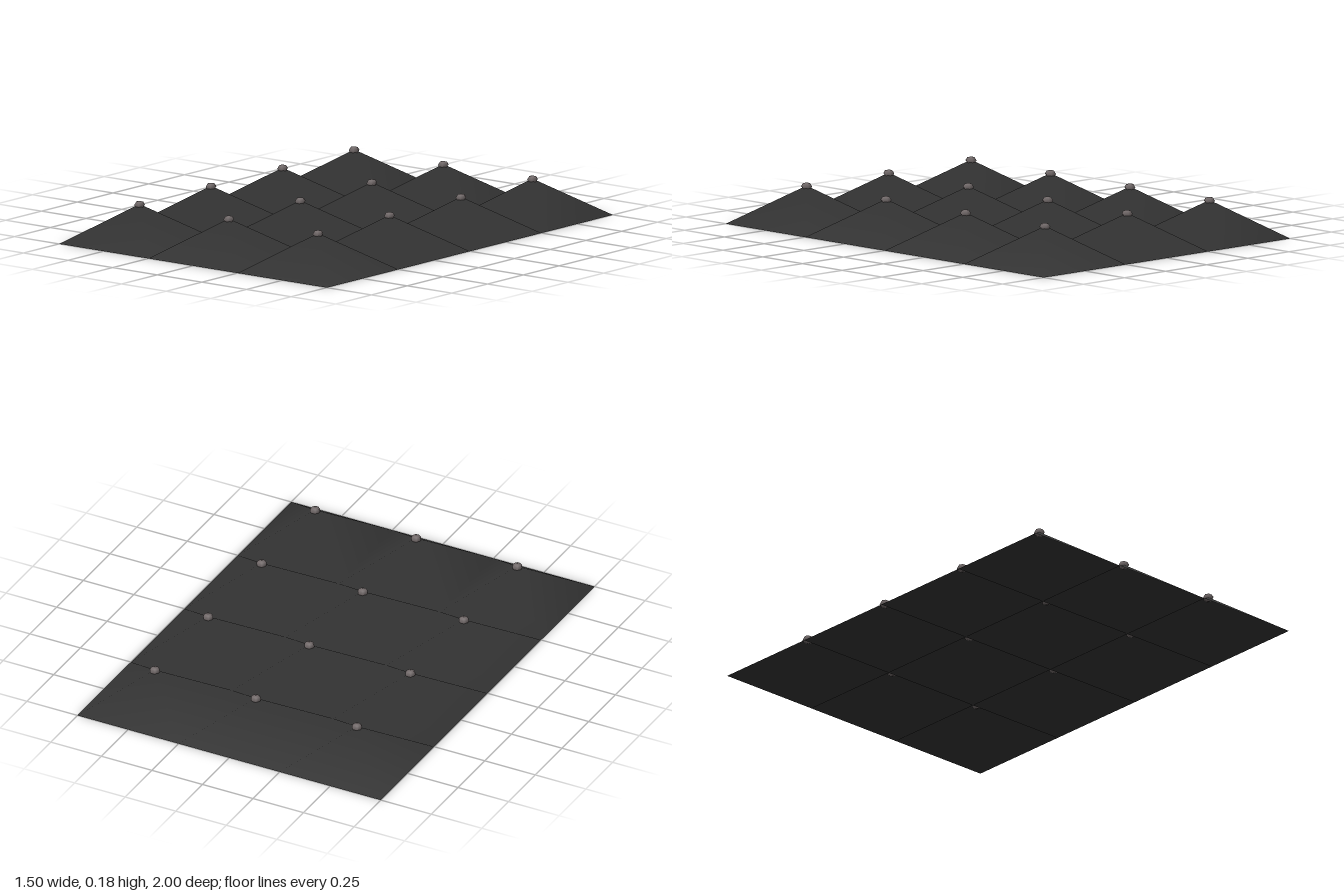
import * as THREE from 'three';

const COLS = 3, ROWS = 4, CELL = 0.5, PEAK = 0.17;

// Smooth welded sheet of square pyramids, open underneath
function pyramidSheet() {
  const positions = [], index = [];
  const x0 = -COLS * CELL / 2, z0 = -ROWS * CELL / 2;
  for (let r = 0; r <= ROWS; r++)
    for (let c = 0; c <= COLS; c++) positions.push(x0 + c * CELL, 0, z0 + r * CELL);
  for (let r = 0; r < ROWS; r++) {
    for (let c = 0; c < COLS; c++) {
      const apex = positions.length / 3;
      positions.push(x0 + (c + 0.5) * CELL, PEAK, z0 + (r + 0.5) * CELL);
      const a = r * (COLS + 1) + c, b = a + 1, d = a + COLS + 1, e = d + 1;
      index.push(a, apex, b, b, apex, e, e, apex, d, d, apex, a);
    }
  }
  const geo = new THREE.BufferGeometry();
  geo.setAttribute('position', new THREE.Float32BufferAttribute(positions, 3));
  geo.setIndex(index);
  geo.computeVertexNormals();
  return geo;
}

export function createModel() {
  const model = new THREE.Group();
  model.name = 'studdedPanel';

  const sheetMat = new THREE.MeshStandardMaterial({ color: 0x333333, side: THREE.DoubleSide });
  sheetMat.name = 'charcoal';
  const studMat = new THREE.MeshStandardMaterial({ color: 0x706868 });
  studMat.name = 'warmGrey';

  const sheet = new THREE.Mesh(pyramidSheet(), sheetMat);
  sheet.name = 'pyramidSheet';
  model.add(sheet);

  // Flattened six-sided stud on every peak
  const profile = [[0, -0.017], [0.017, -0.012], [0.025, 0], [0.017, 0.013], [0, 0.017]]
    .map(([x, y]) => new THREE.Vector2(x, y));
  const studGeo = new THREE.LatheGeometry(profile, 6, Math.PI / 2);
  const studs = new THREE.Group();
  studs.name = 'studs';
  for (let r = 0; r < ROWS; r++) {
    for (let c = 0; c < COLS; c++) {
      const stud = new THREE.Mesh(studGeo, studMat);
      stud.name = 'stud';
      stud.position.set((c - (COLS - 1) / 2) * CELL, 0.167, (r - (ROWS - 1) / 2) * CELL);
      studs.add(stud);
    }
  }
  model.add(studs);
  return model;
}
